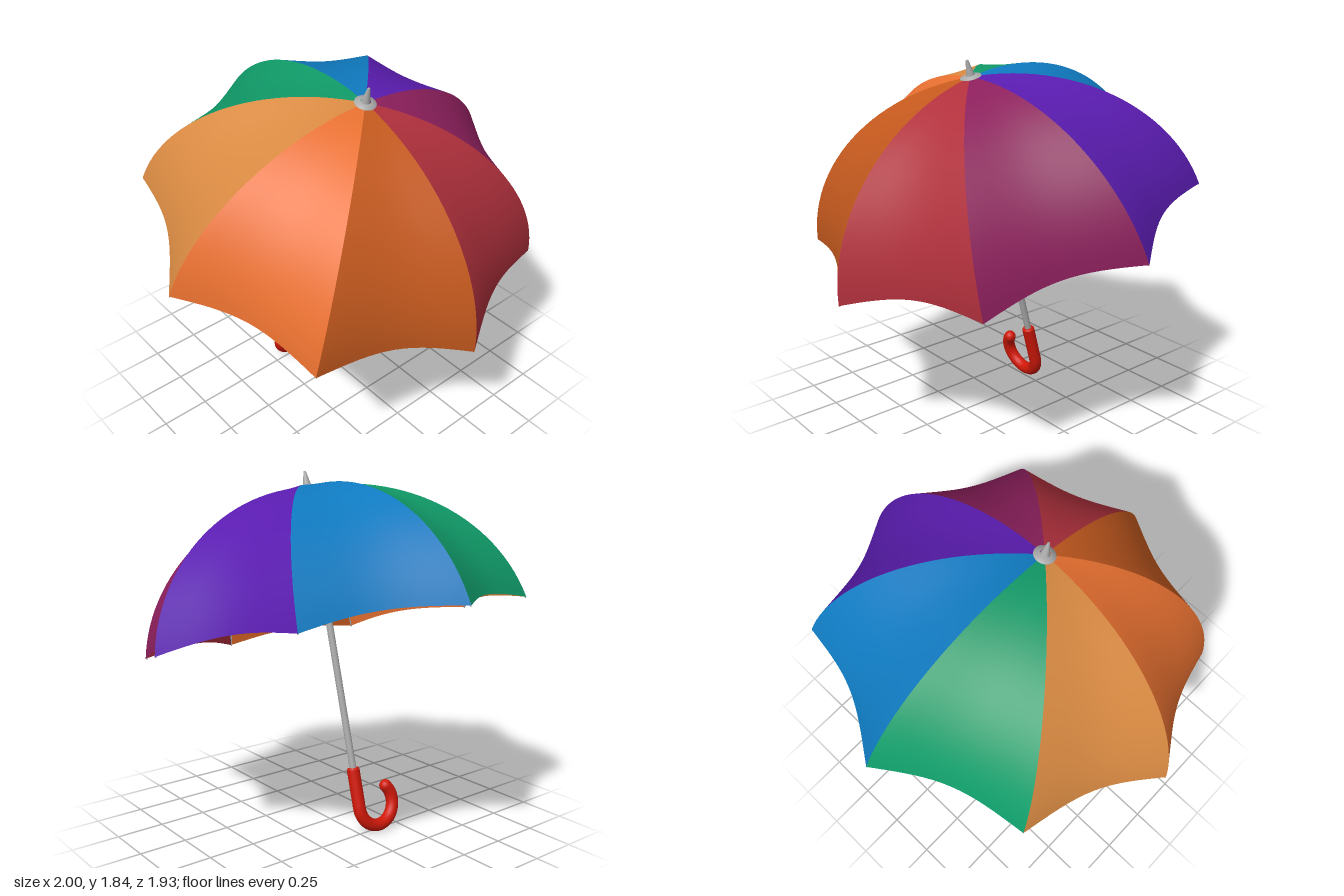
import * as THREE from 'three';

const TILT = THREE.MathUtils.degToRad(15);
const RIBS = 8, HEIGHT = 0.735, SWEEP = THREE.MathUtils.degToRad(80);
const COLORS = [0xb0303c, 0x8c1f5c, 0x5a1cb0, 0x0f7ac0, 0x109a68, 0xd98a42, 0xe87030, 0xc4591e];

// Dome profile: t = 0 at the crown, 1 at the rim
function profile(t) {
  const a = t * SWEEP;
  return {
    r: Math.sin(a) / Math.sin(SWEEP),
    y: HEIGHT * (Math.cos(a) - Math.cos(SWEEP)) / (1 - Math.cos(SWEEP)),
  };
}

// One cloth panel, pulled inward between its two ribs and arched at the rim
function panelGeometry(index) {
  const geo = new THREE.PlaneGeometry(1, 1, 16, 28);
  const pos = geo.attributes.position;
  for (let i = 0; i < pos.count; i++) {
    const u = pos.getX(i) + 0.5;
    const t = 0.5 - pos.getY(i);
    const { r, y } = profile(t);
    const bow = 4 * u * (1 - u);
    const a = (index + u) / RIBS * Math.PI * 2;
    const radius = r * (1 - 0.13 * bow);
    pos.setXYZ(i, Math.sin(a) * radius, y + 0.04 * bow * t ** 4, Math.cos(a) * radius);
  }
  geo.computeVertexNormals();
  return geo;
}

export function createModel() {
  const model = new THREE.Group();
  model.name = 'umbrella';
  const body = new THREE.Group();
  body.name = 'tiltedUmbrella';
  body.position.y = 1.05;
  body.rotation.x = TILT;
  model.add(body);

  const metal = new THREE.MeshStandardMaterial({ color: 0xaaaaaa });
  const red = new THREE.MeshStandardMaterial({ color: 0xd01808 });
  const add = (name, geo, mat, parent = body) => {
    const mesh = new THREE.Mesh(geo, mat);
    mesh.name = name;
    parent.add(mesh);
    return mesh;
  };

  // Canopy panels
  const canopy = new THREE.Group();
  canopy.name = 'canopy';
  body.add(canopy);
  COLORS.forEach((color, i) => {
    const cloth = new THREE.MeshStandardMaterial({ color, side: THREE.DoubleSide });
    add('canopyPanel', panelGeometry(i), cloth, canopy);
  });

  // Thin ribs just under the seams
  const ribs = new THREE.Group();
  ribs.name = 'ribs';
  body.add(ribs);
  const ribPoints = [];
  for (let i = 0; i <= 12; i++) {
    const { r, y } = profile(0.03 + 0.97 * i / 12);
    ribPoints.push(new THREE.Vector3(0, y - 0.004, r * 0.996));
  }
  const ribGeo = new THREE.TubeGeometry(new THREE.CatmullRomCurve3(ribPoints), 32, 0.004, 6);
  for (let i = 0; i < RIBS; i++) {
    add('rib', ribGeo, metal, ribs).rotation.y = i / RIBS * Math.PI * 2;
  }

  // Shaft, with a hub where the ribs meet
  const shaft = add('shaft', new THREE.CylinderGeometry(0.018, 0.018, 1.5, 24), metal);
  shaft.position.y = -0.02;
  const hub = add('ribHub', new THREE.CylinderGeometry(0.035, 0.035, 0.03, 24), metal);
  hub.position.y = 0.705;

  // Top cap and tapered ferrule
  const cap = [[0, 0.722], [0.052, 0.722], [0.052, 0.737], [0.024, 0.745]];
  add('topCap', new THREE.LatheGeometry(cap.map(p => new THREE.Vector2(...p)), 32), metal);
  const ferrule = add('ferrule', new THREE.CylinderGeometry(0.006, 0.023, 0.08, 24), metal);
  ferrule.position.y = 0.778;

  // Hooked handle: straight grip followed by an arc
  const R = 0.112, TUBE = 0.033, CENTER_Y = -0.941;
  const END = THREE.MathUtils.degToRad(222);
  const arcPoint = a => new THREE.Vector3(-R + R * Math.cos(a), CENTER_Y - R * Math.sin(a), 0);
  const path = [-0.735, -0.79, -0.845, -0.9].map(y => new THREE.Vector3(0, y, 0));
  for (let i = 0; i <= 16; i++) path.push(arcPoint(END * i / 16));
  const handle = new THREE.Group();
  handle.name = 'handle';
  body.add(handle);
  add('handleHook', new THREE.TubeGeometry(new THREE.CatmullRomCurve3(path), 72, TUBE, 20), red, handle);
  add('handleEnd', new THREE.SphereGeometry(TUBE, 20, 14), red, handle).position.copy(arcPoint(END));
  const collar = add('handleTop', new THREE.CylinderGeometry(0.027, TUBE, 0.008, 20), red, handle);
  collar.position.y = -0.731;

  return model;
}
